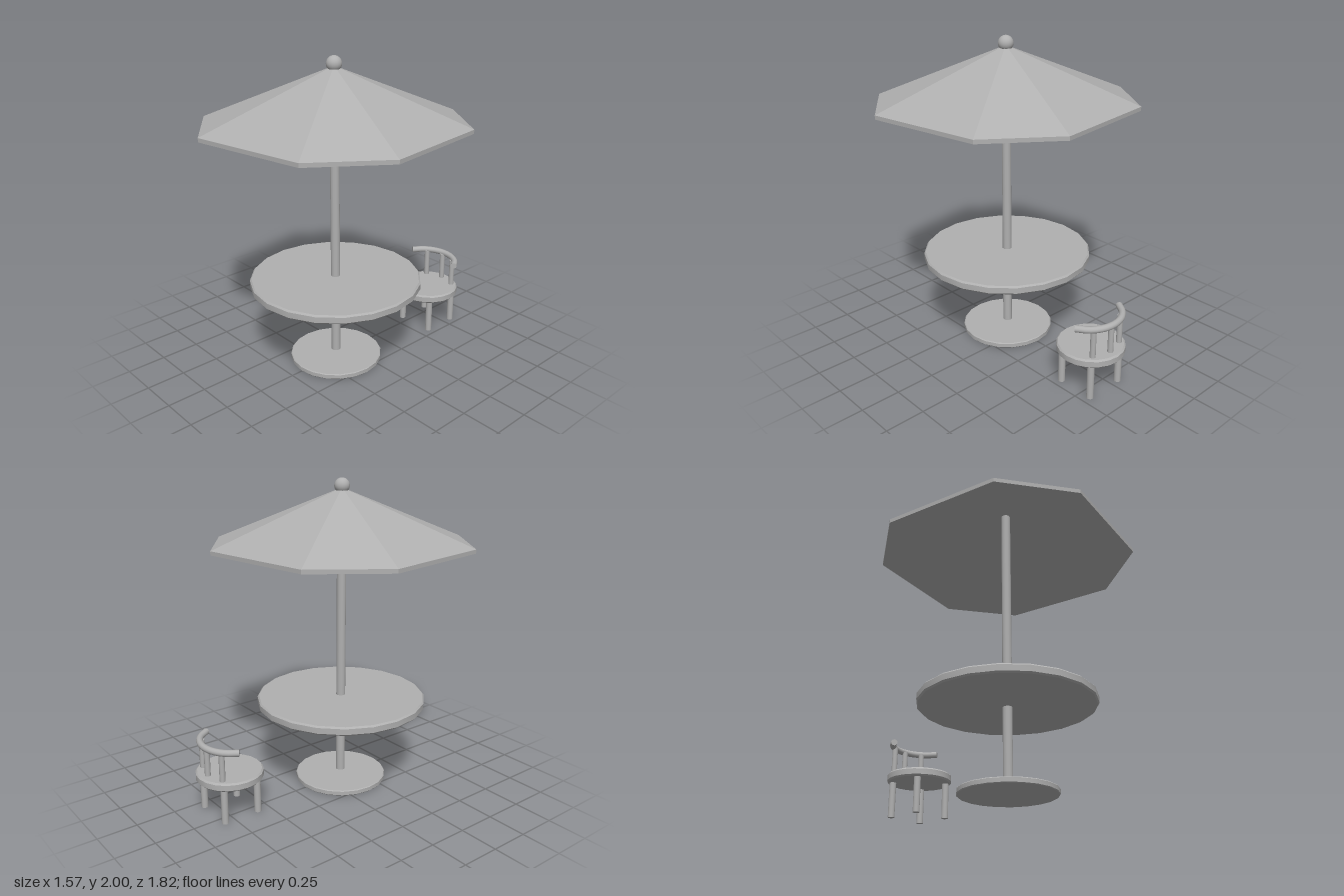
import * as THREE from 'three';
import { toCreasedNormals } from 'three/addons/utils/BufferGeometryUtils.js';

export function createModel() {
  const model = new THREE.Group();
  model.name = 'patioSet';
  const grey = new THREE.MeshStandardMaterial({ color: 0xb0b0b0 });
  grey.name = 'plainGrey';

  const add = (parent, name, geometry, x = 0, y = 0, z = 0) => {
    const mesh = new THREE.Mesh(geometry, grey);
    mesh.name = name;
    mesh.position.set(x, y, z);
    parent.add(mesh);
    return mesh;
  };
  const points = (list) => list.map(([x, y]) => new THREE.Vector2(x, y));

  // round slab with a small bevel on both rims, standing on y = 0
  const disc = (r, h, b) => toCreasedNormals(new THREE.LatheGeometry(points([
    [0, 0], [r - b, 0], [r, b], [r, h - b], [r - b, h], [0, h],
  ]), 20), 0.5);

  // upright rod between two heights
  const rod = (parent, name, r, y0, y1, x = 0, z = 0) =>
    add(parent, name, new THREE.CylinderGeometry(r, r, y1 - y0, 12), x, (y0 + y1) / 2, z);

  // table with its parasol
  const table = new THREE.Group();
  table.name = 'tableWithParasol';
  table.position.set(0, 0, 0.125);
  model.add(table);
  add(table, 'base', disc(0.3, 0.035, 0.005));
  rod(table, 'pole', 0.03, 0.05, 1.925);
  add(table, 'tableTop', disc(0.55, 0.057, 0.01), 0, 0.535);
  add(table, 'finial', new THREE.SphereGeometry(0.048, 20, 14), 0, 1.952);

  // canopy: thin hollow cone on an uneven octagon, gaps alternating 36 and 54 degrees
  const profile = points([[0, 1.91], [0.827, 1.575], [0.827, 1.6], [0, 1.94]]);
  const cone = new THREE.LatheGeometry(profile, 8);
  const pos = cone.attributes.position;
  for (let i = 0; i <= 8; i++) {
    const step = i % 8;
    const angle = THREE.MathUtils.degToRad(54 - 90 * Math.floor(step / 2) - 36 * (step % 2));
    profile.forEach((p, j) => {
      pos.setXYZ(i * profile.length + j, p.x * Math.cos(angle), p.y, p.x * Math.sin(angle));
    });
  }
  const canopy = cone.toNonIndexed();
  canopy.computeVertexNormals();
  add(table, 'canopy', canopy);

  // chair behind the table
  const chair = new THREE.Group();
  chair.name = 'chair';
  chair.position.set(0.068, 0, -0.7);
  model.add(chair);
  add(chair, 'seat', disc(0.21, 0.055, 0.01), 0, 0.225);
  for (const x of [-0.125, 0.125]) {
    for (const z of [-0.117, 0.117]) rod(chair, 'chairLeg', 0.022, 0, 0.23, x, z);
  }
  for (const [x, z] of [[-0.118, -0.12], [0, -0.153], [0.118, -0.12]]) {
    rod(chair, 'backSpindle', 0.018, 0.275, 0.465, x, z);
  }

  // curved back rail with capped ends
  const R = 0.215, railR = 0.021, railY = 0.47, railZ = 0.046;
  const at = (deg) => {
    const a = THREE.MathUtils.degToRad(deg);
    return new THREE.Vector3(R * Math.sin(a), railY, railZ - R * Math.cos(a));
  };
  const path = new THREE.CatmullRomCurve3([-65, -43, -22, 0, 22, 43, 65].map(at));
  add(chair, 'backRail', new THREE.TubeGeometry(path, 16, railR, 12));
  for (const end of [0, 1]) {
    const cap = add(chair, 'railEnd', new THREE.CircleGeometry(railR, 12));
    const outward = path.getTangentAt(end).multiplyScalar(end ? 1 : -1);
    cap.position.copy(path.getPointAt(end));
    cap.quaternion.setFromUnitVectors(new THREE.Vector3(0, 0, 1), outward);
  }
  return model;
}
